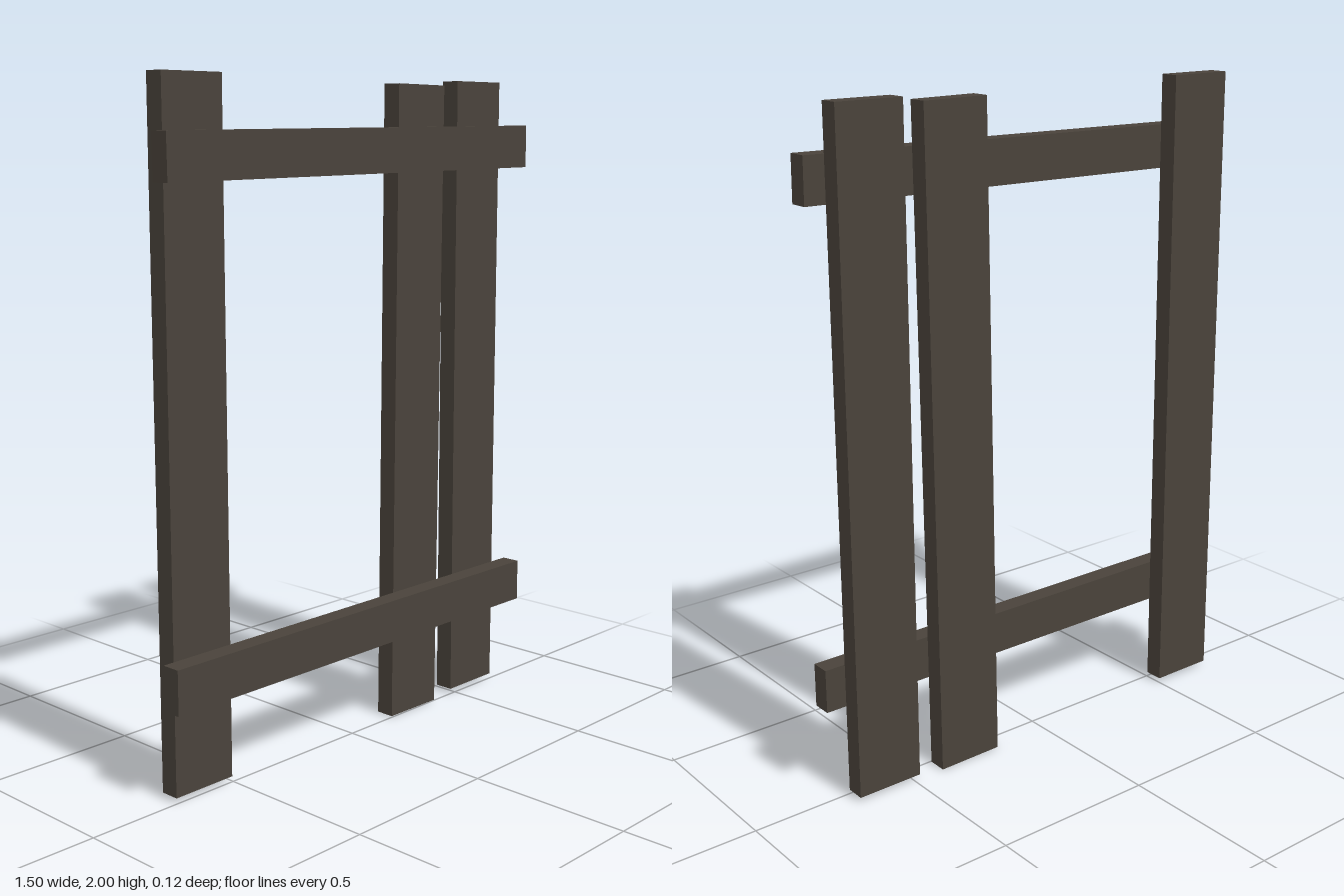
import * as THREE from 'three';

export function createModel() {
  const group = new THREE.Group();
  group.name = 'brokenFence';
  const wood = new THREE.MeshStandardMaterial({ color: 0x4a433b });
  wood.name = 'dark weathered wood';

  const thickness = 0.059;
  const plank = (name, width, height, x, y, z, tilt = 0) => {
    const mesh = new THREE.Mesh(new THREE.BoxGeometry(width, height, thickness), wood);
    mesh.name = name;
    mesh.position.set(x, y, z);
    mesh.rotation.z = tilt;
    group.add(mesh);
  };

  // Upright boards at the back, one of them slipped and leaning
  const back = -0.0325;
  plank('rightBoard', 0.209, 1.984, -0.605, 1.008, back);
  plank('leaningBoard', 0.209, 1.984, 0.302, 0.994, back, -0.01);
  plank('leftBoard', 0.209, 1.984, 0.585, 1.008, back);

  // Cross rails on the front, the upper one slightly crooked
  const front = 0.0325;
  plank('lowerRail', 1.5, 0.132, 0, 0.35, front);
  plank('upperRail', 1.5, 0.132, 0, 1.79, front, 0.012);

  return group;
}
